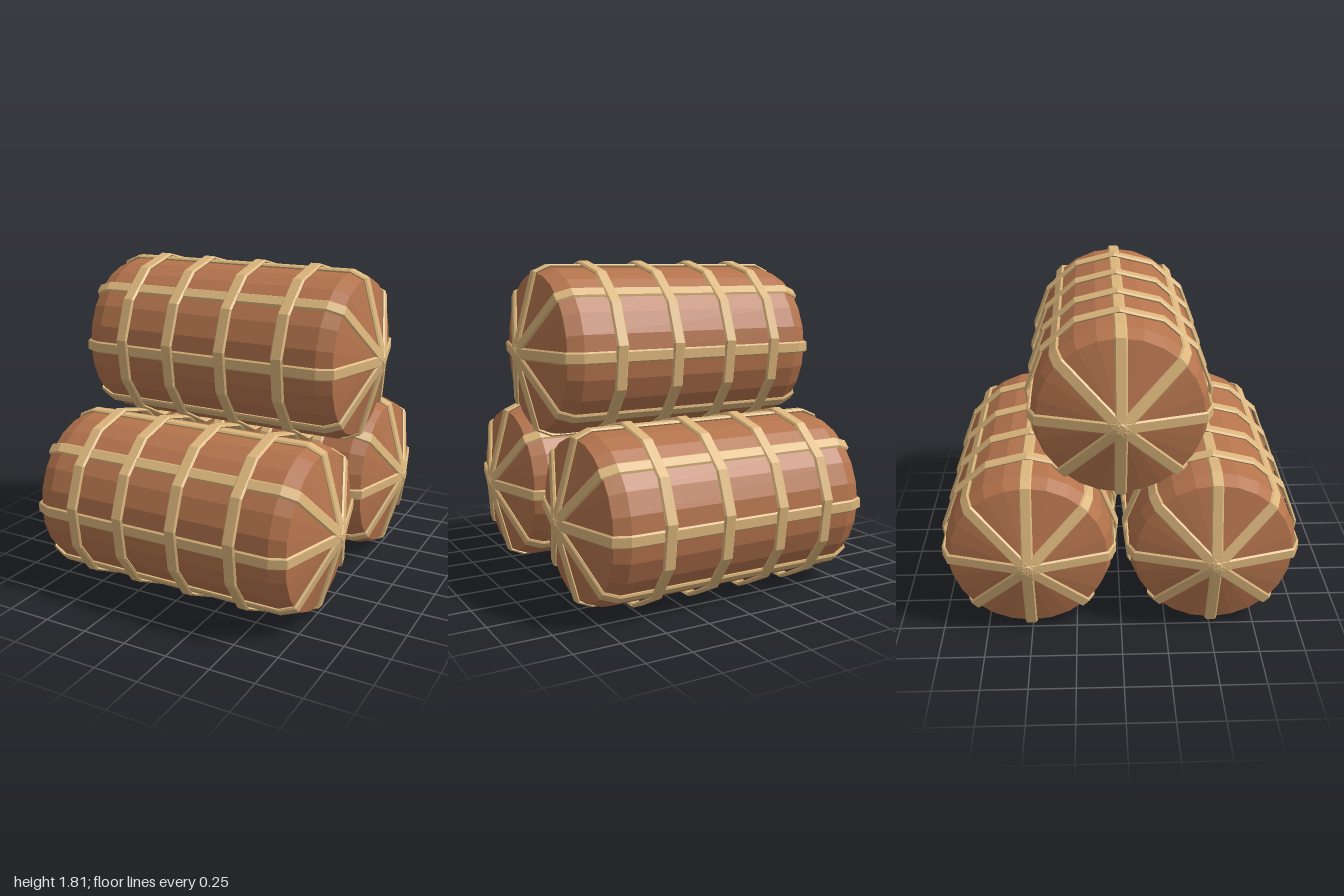
import * as THREE from 'three';

const hide = new THREE.MeshStandardMaterial({ color: 0xb5744d, flatShading: true });
const cord = new THREE.MeshStandardMaterial({ color: 0xdcb67c, flatShading: true });

// Sweeps a flattened bevelled section round a closed counter-clockwise loop in XY; width lies along z
function bandGeometry(loop, w, t) {
  const section = [[w, 0], [0.75 * w, t], [-0.75 * w, t], [-w, 0], [-0.75 * w, -t], [0.75 * w, -t]];
  const n = loop.length, m = section.length;
  const pos = [], idx = [];
  const edgeNormal = (a, b) => new THREE.Vector2(b.y - a.y, a.x - b.x).normalize();
  loop.forEach((p, i) => {
    const n1 = edgeNormal(loop[(i + n - 1) % n], p);
    const n2 = edgeNormal(p, loop[(i + 1) % n]);
    const miter = n1.clone().add(n2).divideScalar(1 + n1.dot(n2));
    for (const [z, r] of section) pos.push(p.x + miter.x * r, p.y + miter.y * r, z);
    for (let j = 0; j < m; j++) {
      const k = (j + 1) % m, q = (i + 1) % n;
      const a = i * m + j, b = i * m + k, c = q * m + k, d = q * m + j;
      idx.push(a, b, c, a, c, d);
    }
  });
  const g = new THREE.BufferGeometry();
  g.setAttribute('position', new THREE.Float32BufferAttribute(pos, 3));
  g.setIndex(idx);
  g.computeVertexNormals();
  return g;
}

const v = (x, y) => new THREE.Vector2(x, y);

// Bale body: drum with bevelled rims and shallow cone ends, lying along x
const half = [[0, 0.868], [0.43, 0.755], [0.461, 0.67]];
const profile = [
  ...half.map(([r, x]) => v(r, -x)),
  ...half.slice().reverse().map(([r, x]) => v(r, x)),
];
const bodyGeo = new THREE.LatheGeometry(profile, 24).rotateZ(-Math.PI / 2);

// Hoop: 13-sided ring with a corner at the top
const ring = Array.from({ length: 13 }, (_, i) => {
  const a = Math.PI / 2 + (i / 13) * Math.PI * 2;
  return v(0.487 * Math.cos(a), 0.487 * Math.sin(a));
});
const hoopGeo = bandGeometry(ring, 0.036, 0.01).rotateY(Math.PI / 2);

// Strap: closed loop running lengthwise over both ends
const strapGeo = bandGeometry([
  v(0.88, 0), v(0.762, 0.432), v(0.68, 0.468), v(-0.68, 0.468), v(-0.762, 0.432),
  v(-0.88, 0), v(-0.762, -0.432), v(-0.68, -0.468), v(0.68, -0.468), v(0.762, -0.432),
], 0.033, 0.009);

function makeBale(name, x, y, z) {
  const bale = new THREE.Group();
  bale.name = name;
  const add = (geo, mat, part) => {
    const mesh = new THREE.Mesh(geo, mat);
    mesh.name = part;
    bale.add(mesh);
    return mesh;
  };
  add(bodyGeo, hide, 'baleBody');
  for (const hx of [-0.5, -0.205, 0.125, 0.465]) add(hoopGeo, cord, 'hoop').position.x = hx;
  for (let i = 0; i < 4; i++) add(strapGeo, cord, 'lengthwiseStrap').rotation.x = (i * Math.PI) / 4;
  bale.position.set(x, y, z);
  return bale;
}

export function createModel() {
  const model = new THREE.Group();
  model.name = 'baleStack';
  model.add(
    makeBale('frontBale', -0.003, 0.485, 0.505),
    makeBale('backBale', -0.003, 0.485, -0.505),
    makeBale('topBale', 0.003, 1.317, -0.005),
  );
  return model;
}
